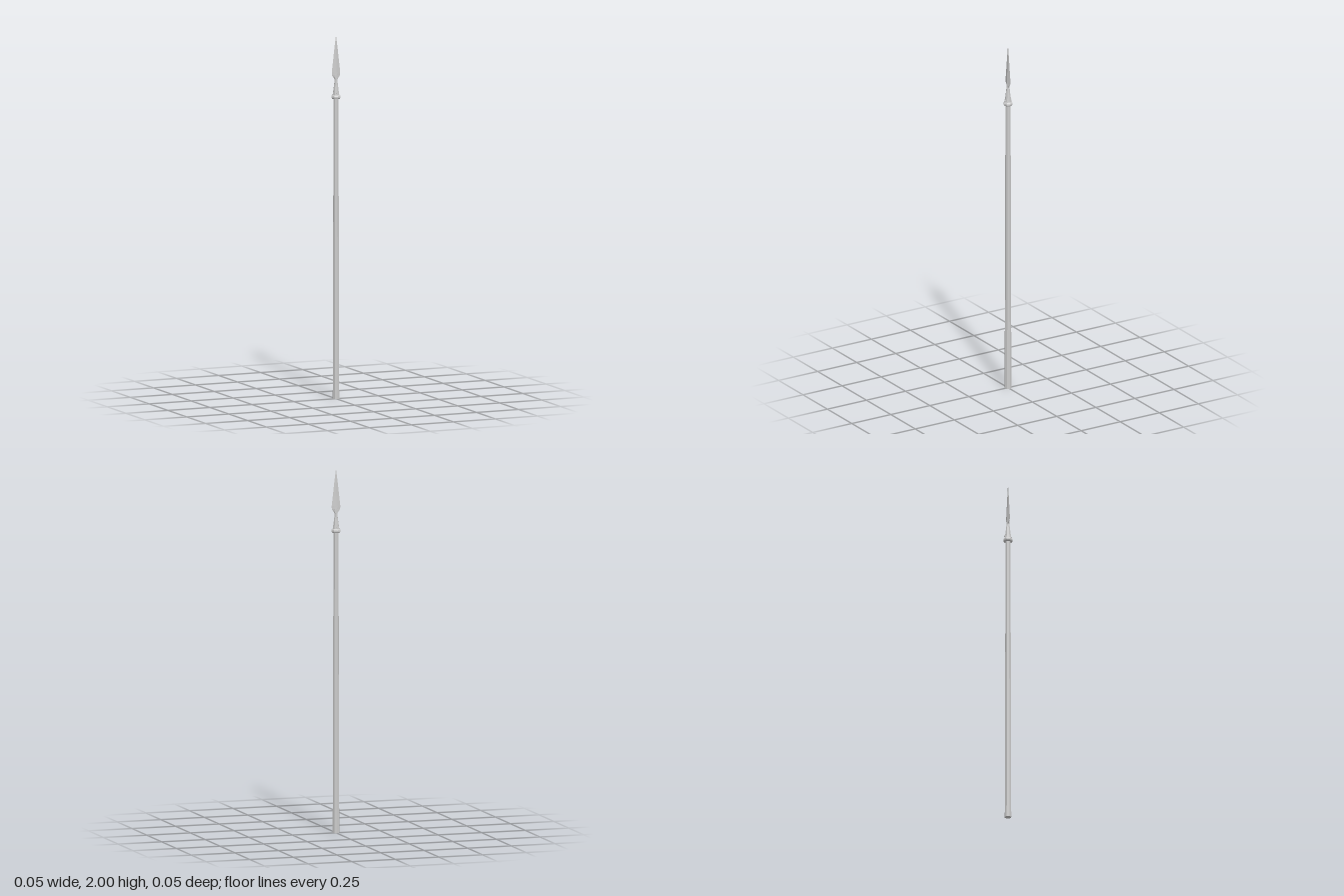
import * as THREE from 'three';

const SIDES = 8;
const material = new THREE.MeshStandardMaterial({ color: 0xcccccc, flatShading: true, side: THREE.DoubleSide });

function addMesh(group, name, geometry) {
  const mesh = new THREE.Mesh(geometry, material);
  mesh.name = name;
  group.add(mesh);
  return mesh;
}

// Skins rings of [y, half width, half depth, diagonal factor]; 0.71 is round, 0.5 a diamond
function loft(sections) {
  const positions = [];
  const indices = [];
  for (const [y, rx, rz, diagonal] of sections) {
    for (let i = 0; i < SIDES; i++) {
      const a = (i / SIDES) * Math.PI * 2;
      const k = i % 2 ? diagonal / Math.SQRT1_2 : 1;
      positions.push(Math.cos(a) * rx * k, y, Math.sin(a) * rz * k);
    }
  }
  for (let s = 0; s < sections.length - 1; s++) {
    for (let i = 0; i < SIDES; i++) {
      const a = s * SIDES + i;
      const b = s * SIDES + ((i + 1) % SIDES);
      indices.push(a, a + SIDES, b, b, a + SIDES, b + SIDES);
    }
  }
  const geometry = new THREE.BufferGeometry();
  geometry.setAttribute('position', new THREE.Float32BufferAttribute(positions, 3));
  geometry.setIndex(indices);
  geometry.computeVertexNormals();
  return geometry;
}

export function createModel() {
  const spear = new THREE.Group();
  spear.name = 'spear';

  // Slightly tapered wooden pole
  const shaft = addMesh(spear, 'shaft', new THREE.CylinderGeometry(0.0145, 0.019, 1.66, SIDES));
  shaft.position.y = 0.83;

  // Stepped collar where the head meets the pole
  const profile = [
    [0.014, 1.65], [0.023, 1.65], [0.026, 1.655], [0.026, 1.663],
    [0.022, 1.669], [0.018, 1.671],
  ].map(([r, y]) => new THREE.Vector2(r, y));
  addMesh(spear, 'collar', new THREE.LatheGeometry(profile, SIDES));

  // Conical socket narrowing to a neck
  addMesh(spear, 'socket', loft([
    [1.665, 0.02, 0.02, 0.71],
    [1.69, 0.016, 0.017, 0.71],
    [1.725, 0.011, 0.012, 0.71],
    [1.755, 0.0075, 0.009, 0.71],
  ]));

  // Leaf blade with a central ridge
  addMesh(spear, 'blade', loft([
    [1.755, 0.0075, 0.009, 0.71],
    [1.778, 0.024, 0.0075, 0.5],
    [1.795, 0.025, 0.0065, 0.5],
    [1.85, 0.0185, 0.0045, 0.5],
    [1.92, 0.0105, 0.0025, 0.5],
    [2.0, 0, 0, 0.5],
  ]));

  // Rivets on the front and back of the socket
  for (const side of [1, -1]) {
    const rivet = addMesh(spear, side > 0 ? 'frontRivet' : 'backRivet',
      new THREE.CylinderGeometry(0.003, 0.005, 0.008, 6));
    rivet.rotation.x = side * Math.PI / 2;
    rivet.position.set(0, 1.68, side * 0.018);
  }

  return spear;
}
